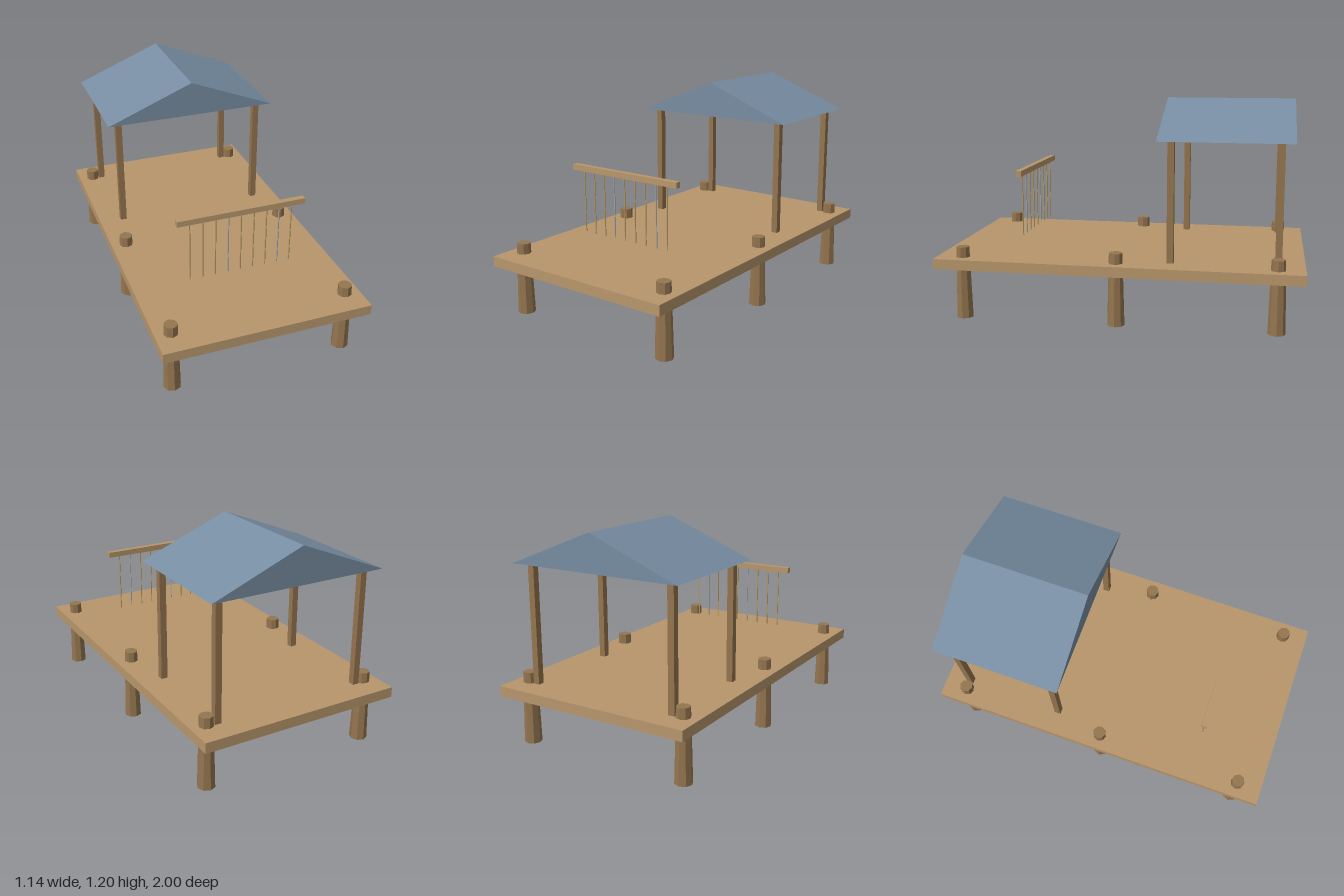
import * as THREE from 'three';

const material = (color) => new THREE.MeshStandardMaterial({ color, flatShading: true });

export function createModel() {
  const model = new THREE.Group();
  const plankWood = material(0xb8966c);
  const darkWood = material(0x94754f);
  const slate = material(0x778da2);
  const brass = material(0xb89a62);
  const steel = material(0xa3a6a6);

  const add = (name, geometry, mat, x, y, z) => {
    const mesh = new THREE.Mesh(geometry, mat);
    mesh.name = name;
    mesh.position.set(x, y, z);
    model.add(mesh);
  };

  // Platform
  add('deck', new THREE.BoxGeometry(1.143, 0.057, 2), plankWood, 0, 0.3145, 0);

  // Tapered piles passing through the deck
  const pile = new THREE.CylinderGeometry(0.037, 0.0475, 0.4, 8);
  for (const side of [-1, 1]) {
    for (const z of [-0.857, 0, 0.857]) add('pile', pile, darkWood, side * 0.486, 0.2, z);
  }

  // Shelter posts, reaching the underside of the deck
  const post = new THREE.BoxGeometry(0.036, 0.715, 0.036);
  for (const side of [-1, 1]) {
    for (const z of [-0.857, -0.286]) add('shelterPost', post, darkWood, side * 0.428, 0.6425, z);
  }

  // Solid gable roof with its ridge running front to back
  const gable = new THREE.Shape([
    new THREE.Vector2(-0.5, 0),
    new THREE.Vector2(0.5, 0),
    new THREE.Vector2(0, 0.2),
  ]);
  const roof = new THREE.ExtrudeGeometry(gable, { depth: 0.714, bevelEnabled: false });
  add('roof', roof, slate, 0, 1, -0.928);

  // Bar with a row of hanging rods
  add('chimeBar', new THREE.BoxGeometry(0.714, 0.032, 0.032), plankWood, 0, 0.791, 0.571);
  const rod = new THREE.CylinderGeometry(0.0036, 0.0036, 0.345, 6);
  for (let i = 0; i < 9; i++) {
    add('chimeRod', rod, i % 4 === 3 ? steel : brass, (i - 4) * 0.0714, 0.6025, 0.571);
  }

  return model;
}
